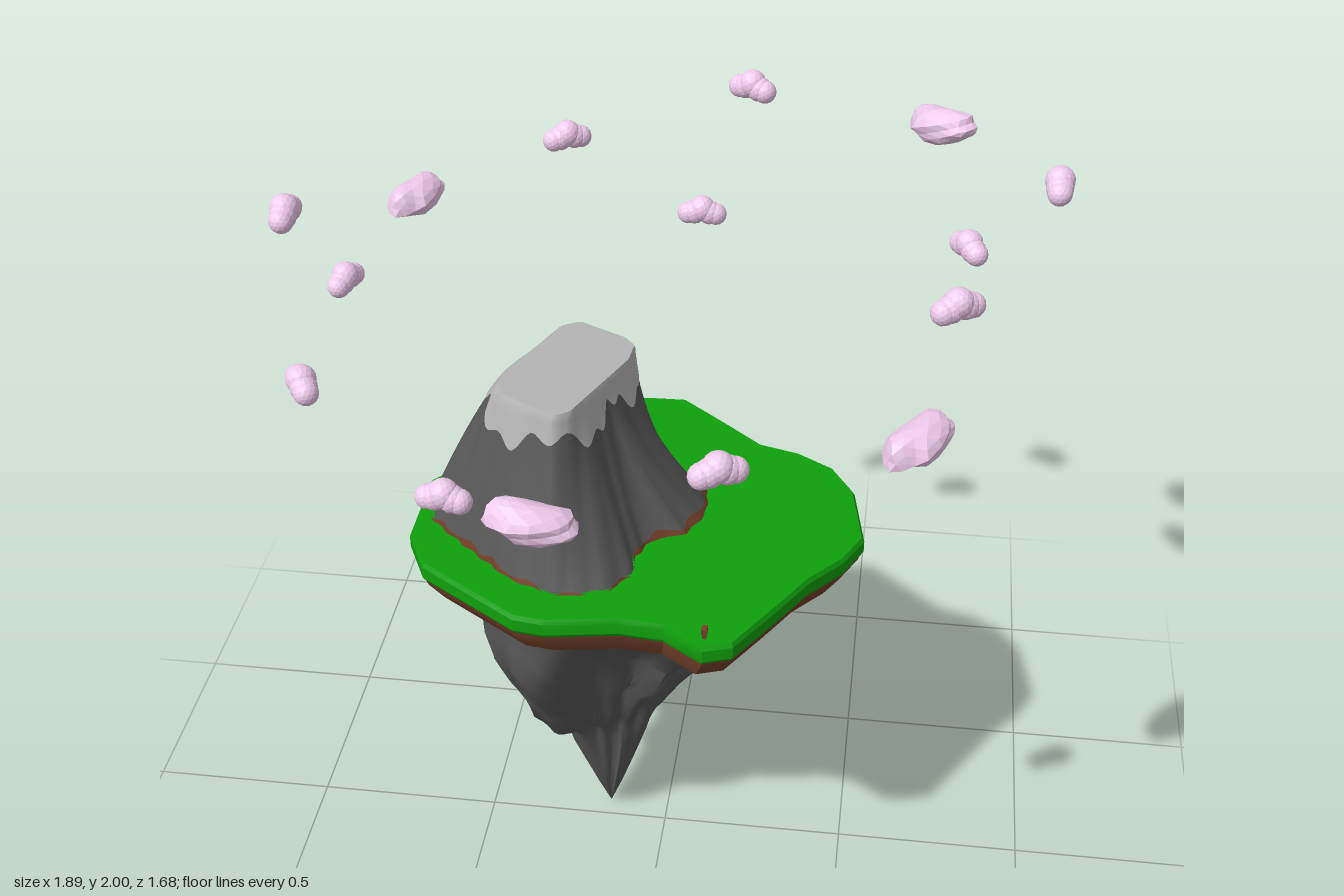
import * as THREE from 'three';
import { mergeGeometries, mergeVertices, toCreasedNormals } from 'three/addons/utils/BufferGeometryUtils.js';

const mat = (color, flatShading = false) => new THREE.MeshStandardMaterial({ color, flatShading, roughness: 1 });
const ROCK = mat(0x585858), SNOW = mat(0xb4b4b4), GRASS = mat(0x10a00c), SOIL = mat(0x74402a), CLOUD = mat(0xf0ccec, true);
const { clamp, lerp, smoothstep } = THREE.MathUtils;

// Plan outlines as [x, z]
const ISLAND = [
  [-0.635, -0.11], [-0.55, -0.21], [-0.435, -0.415], [-0.335, -0.535], [-0.225, -0.565], [-0.125, -0.585],
  [-0.02, -0.588], [0.09, -0.495], [0.21, -0.39], [0.315, -0.36], [0.41, -0.3], [0.47, -0.2], [0.505, 0],
  [0.46, 0.095], [0.38, 0.19], [0.305, 0.32], [0.22, 0.46], [0.15, 0.485], [0.05, 0.415], [-0.06, 0.405],
  [-0.24, 0.435], [-0.315, 0.425], [-0.575, 0.25], [-0.635, 0.125]];
const FOOT = [
  [-0.62, -0.02], [-0.525, -0.2], [-0.4, -0.365], [-0.285, -0.405], [-0.175, -0.365], [0, -0.25], [0.09, -0.15],
  [0.095, -0.05], [0.055, 0.04], [-0.03, 0.08], [-0.06, 0.155], [-0.05, 0.22], [-0.11, 0.305], [-0.225, 0.335],
  [-0.35, 0.28], [-0.475, 0.17], [-0.585, 0.07]];
const SUMMIT = [[-0.3, -0.24], [-0.255, -0.268], [-0.13, -0.205], [-0.1, -0.17], [-0.105, -0.1], [-0.21, 0.155],
  [-0.245, 0.18], [-0.285, 0.16], [-0.385, 0.1], [-0.408, 0.055], [-0.395, -0.01]];

// Distance from (cx, cz) to an outline in direction a
function reach(outline, cx, cz, a) {
  const dx = Math.cos(a), dz = Math.sin(a);
  let best = 0;
  outline.forEach(([x1, z1], i) => {
    const [x2, z2] = outline[(i + 1) % outline.length];
    const ex = x2 - x1, ez = z2 - z1, d = dx * ez - dz * ex;
    if (Math.abs(d) < 1e-9) return;
    const r = ((x1 - cx) * ez - (z1 - cz) * ex) / d;
    const s = ((x1 - cx) * dz - (z1 - cz) * dx) / d;
    if (r > 0 && s >= -1e-6 && s <= 1.000001) best = Math.max(best, r);
  });
  return best;
}

// Skin closed rings of [x, y, z], listed from bottom to top
function loft(rings, crease = 0.6) {
  const n = rings[0].length, index = [];
  for (let i = 0; i < rings.length - 1; i++) {
    for (let j = 0; j < n; j++) {
      const a = i * n + j, b = i * n + (j + 1) % n;
      index.push(a, a + n, b, b, a + n, b + n);
    }
  }
  const g = new THREE.BufferGeometry();
  g.setAttribute('position', new THREE.Float32BufferAttribute(rings.flat(2), 3));
  g.setIndex(index);
  return toCreasedNormals(g, crease);
}

function add(parent, name, geometry, material) {
  const mesh = new THREE.Mesh(geometry, material);
  mesh.name = name;
  parent.add(mesh);
  return mesh;
}

const ring = (n, fn) => Array.from({ length: n }, (_, j) => fn((j / n) * Math.PI * 2 - Math.PI));

// Flat slab following the island outline; profile rows are [scale, y]
const slab = profile => loft(profile.map(([s, y]) =>
  ISLAND.map(([x, z]) => [-0.07 + (x + 0.07) * s, y, -0.05 + (z + 0.05) * s])), 0.45);

// Hanging rock: extents of each level spread the island outline around the tip
function hangingRock() {
  const ax = -0.165, az = -0.06;
  const levels = [ // y, xMin, xMax, zMin, zMax
    [0.0, -0.166, -0.164, -0.061, -0.059], [0.1, -0.2, -0.125, -0.09, -0.005], [0.2, -0.23, -0.085, -0.12, 0.03],
    [0.29, -0.255, -0.045, -0.15, 0.055], [0.33, -0.262, -0.03, -0.2, 0.065], [0.37, -0.265, -0.01, -0.25, 0.075],
    [0.41, -0.275, 0.01, -0.305, 0.1], [0.44, -0.345, 0.03, -0.335, 0.15], [0.52, -0.36, 0.08, -0.37, 0.185],
    [0.58, -0.375, 0.13, -0.39, 0.22], [0.62, -0.385, 0.225, -0.4, 0.25], [0.68, -0.4, 0.29, -0.42, 0.285],
    [0.75, -0.42, 0.345, -0.44, 0.32], [0.83, -0.44, 0.395, -0.46, 0.36], [0.89, -0.475, 0.42, -0.48, 0.395],
    [0.95, -0.52, 0.45, -0.5, 0.425]];
  const lobe = (a, towards) => Math.pow(Math.max(0, Math.cos(a - towards)), 4);
  const rings = levels.map(([y, x0, x1, z0, z1]) => {
    const rough = smoothstep(y, 0.05, 0.45) * (1 - smoothstep(y, 0.75, 0.94));
    return ring(96, a => {
      const r = reach(ISLAND, ax, az, a);
      const swell = 0.36 * lobe(a, Math.PI * 0.75) - 0.1 * lobe(a, -Math.PI / 4) - 0.2 * lobe(a, Math.PI / 4);
      const fold = 1 + rough * (swell - 0.07 - 0.05 * Math.sin(a * 7 + y * 5) - 0.03 * Math.sin(a * 17 - y * 9));
      const dx = Math.cos(a) * r, dz = Math.sin(a) * r;
      const x = dx * (dx > 0 ? (x1 - ax) / (0.505 - ax) : (x0 - ax) / (-0.635 - ax));
      const z = dz * (dz > 0 ? (z1 - az) / (0.485 - az) : (z0 - az) / (-0.588 - az));
      return [clamp(ax + x * fold, x0, x1), y + rough * 0.015 * Math.sin(a * 11 + y * 3), clamp(az + z * fold, z0, z1)];
    });
  });
  return loft(rings, 1.1);
}

// Mountain surface point at angle a and height t (0 foot, 1 summit)
const MX = -0.25, MZ = -0.04, FOOT_Y = 1.05, PEAK_Y = 1.475;
function slope(a, t, swell = 0) {
  const f = Math.pow(1 - t, 1.25 + 0.45 * Math.cos(a));
  const wrinkle = 0.003 * Math.sin(a * 13) * Math.sin(Math.PI * t) + 0.004 * Math.sin(a * 29) * (1 - t) ** 3;
  const r = lerp(reach(SUMMIT, MX, MZ, a), reach(FOOT, MX, MZ, a), f) + wrinkle + swell;
  return [MX + Math.cos(a) * r, lerp(FOOT_Y, PEAK_Y, t), MZ + Math.sin(a) * r];
}
const band = (low, high, swell, steps) => Array.from({ length: steps + 1 }, (_, i) =>
  ring(120, a => slope(a, lerp(low(a), high(a), i / steps), swell)));

// Small cloud: a tall middle puff blending into lower ones
function puffCloud() {
  return mergeGeometries([[0, 0.004, 0, 0.036], [0.038, -0.011, 0, 0.03], [-0.038, -0.011, 0, 0.03],
    [0.02, -0.007, 0, 0.033], [-0.02, -0.007, 0, 0.033]].map(([x, y, z, r]) =>
    new THREE.IcosahedronGeometry(r, 2).translate(x, y, z)));
}

// Large cloud: a long lumpy faceted mass
function longCloud() {
  const g = new THREE.IcosahedronGeometry(1, 2);
  g.deleteAttribute('normal');
  g.deleteAttribute('uv');
  const m = mergeVertices(g, 1e-3), p = m.attributes.position;
  for (let i = 0; i < p.count; i++) {
    const x = p.getX(i), y = p.getY(i), z = p.getZ(i);
    const k = 0.98 + 0.08 * Math.sin(5 * x + 3 * z) + 0.06 * Math.sin(6 * y - 4 * x);
    const blunt = Math.sign(x) * Math.pow(Math.abs(x), 0.85);
    p.setXYZ(i, blunt * 0.104 * k, y * (0.046 - 0.008 * x) * k, z * 0.056 * k);
  }
  return m;
}

export function createModel() {
  const model = new THREE.Group();
  model.name = 'floatingIsland';

  add(model, 'hangingRock', hangingRock(), ROCK);
  add(model, 'soilLayer', slab([[0, 0.93], [0.92, 0.93], [0.99, 0.985], [1, 1.005]]), SOIL);
  add(model, 'grassLayer', slab([[0.9, 1.0], [1, 1.0], [1.012, 1.01], [1.012, 1.042], [1, 1.054], [0, 1.054]]), GRASS);

  // Mountain with a ragged soil collar and a jagged snow cap
  const mountain = new THREE.Group();
  mountain.name = 'mountain';
  model.add(mountain);
  add(mountain, 'mountainSlope', loft(band(() => 0, () => 0.97, 0, 14), 0.8), ROCK);
  add(mountain, 'soilCollar', loft(band(() => 0,
    a => 0.03 + 0.014 * Math.sin(a * 19) + 0.018 * Math.sin(a * 3 + 1), 0.008, 3)), SOIL);
  const snowLine = a => 0.8 + 0.06 * Math.sin(a * 5) + 0.04 * Math.sin(a * 14 + 1);
  const snow = band(snowLine, () => 0.97, 0.004, 4);
  snow.push(ring(120, a => slope(a, 1)), ring(120, () => [MX, PEAK_Y, MZ]));
  add(mountain, 'snowCap', loft(snow), SNOW);

  // Tiny signpost at the front tip of the island
  const sign = new THREE.Group();
  sign.name = 'signpost';
  sign.position.set(0.153, 1.05, 0.45);
  model.add(sign);
  add(sign, 'post', new THREE.BoxGeometry(0.01, 0.02, 0.014).translate(0, 0.01, 0), SOIL);
  add(sign, 'board', new THREE.BoxGeometry(0.014, 0.014, 0.022).translate(0, 0.026, 0), SOIL);

  // Ring of clouds: x, y, z, turn (and tilt)
  const clouds = new THREE.Group();
  clouds.name = 'clouds';
  model.add(clouds);
  const puff = puffCloud(), long = longCloud();
  const place = (name, geometry, [x, y, z, turn, tilt = 0]) => {
    const c = add(clouds, name, geometry, CLOUD);
    c.position.set(x, y, z);
    c.rotation.set(0, turn, tilt);
  };
  [[-0.37, 1.745, -0.79, 0.5], [0, 1.55, -0.78, 0], [0.13, 1.925, -0.77, -0.45], [0.72, 1.63, -0.52, -1],
    [-0.89, 1.515, -0.35, 1.3], [-0.91, 1.885, 0, Math.PI / 2], [0.905, 1.958, -0.235, Math.PI / 2],
    [-0.79, 1.65, 0.375, -1.05], [-0.42, 1.515, 0.59, -0.15], [0.68, 1.885, 0.245, 0.6],
    [0.205, 1.73, 0.72, 0.45]].forEach(c => place('smallCloud', puff, c));
  [[-0.75, 1.63, -0.615, 1.2], [0.625, 1.938, -0.56, -0.8, 0.2], [0.62, 1.663, 0.455, 0.95, 0.1],
    [-0.18, 1.6, 0.78, 0, -0.15]].forEach(c => place('largeCloud', long, c));
  return model;
}
